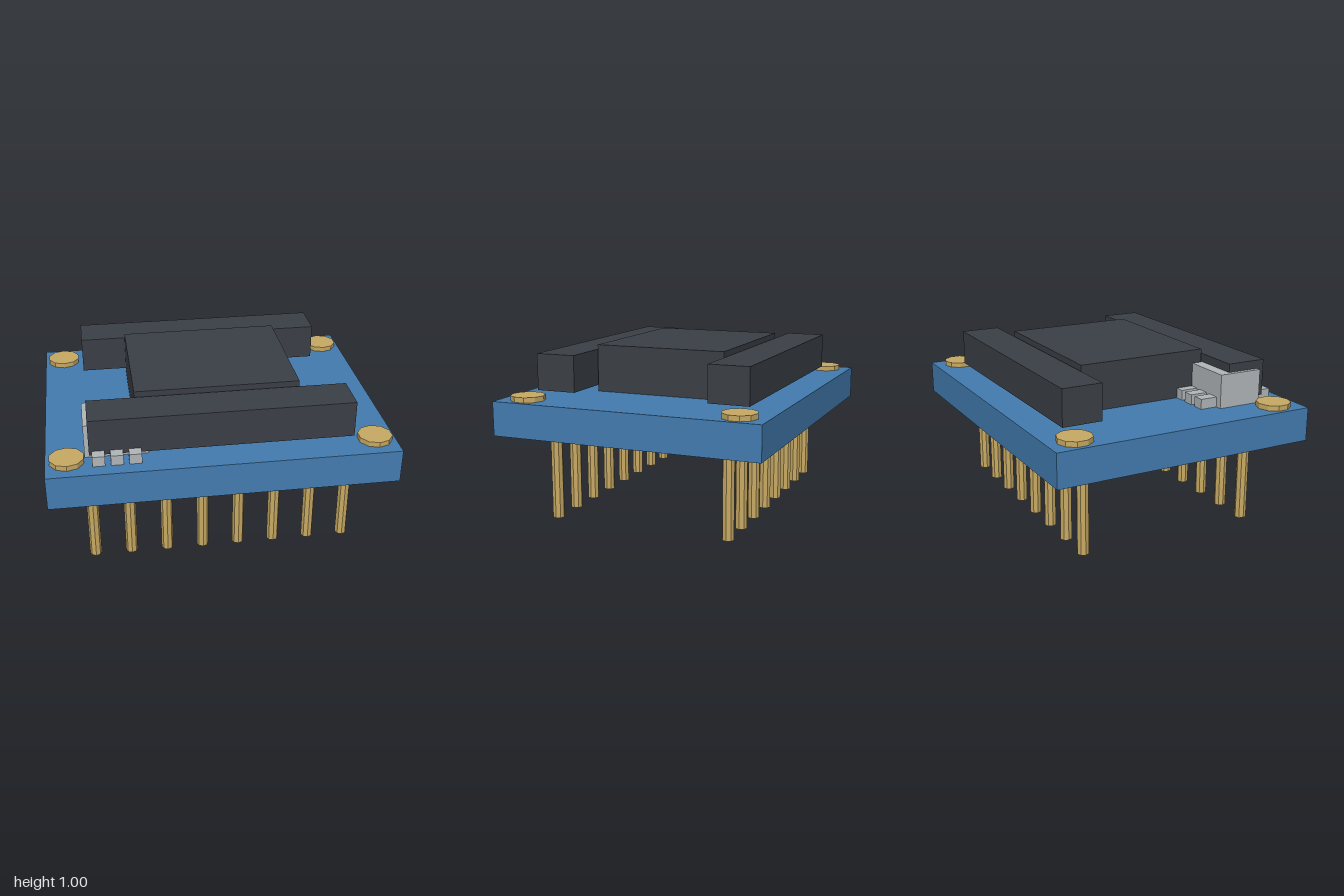
import * as THREE from 'three';

const mat = (name, color) => {
  const m = new THREE.MeshStandardMaterial({ color });
  m.name = name;
  return m;
};

export function createModel() {
  const model = new THREE.Group();
  model.name = 'circuitModule';

  const blue = mat('boardBlue', 0x437cb0);
  const dark = mat('plasticDark', 0x3b4046);
  const gold = mat('contactGold', 0xc8aa64);
  const grey = mat('metalGrey', 0xb2b7ba);
  gold.flatShading = true;

  // Box given by its ranges on each axis
  const box = (name, material, [x0, x1], [y0, y1], [z0, z1], parent = model) => {
    const mesh = new THREE.Mesh(new THREE.BoxGeometry(x1 - x0, y1 - y0, z1 - z0), material);
    mesh.position.set((x0 + x1) / 2, (y0 + y1) / 2, (z0 + z1) / 2);
    mesh.name = name;
    parent.add(mesh);
  };

  // Upright faceted cylinder between two heights
  const post = (name, radius, sides, x, z, y0, y1) => {
    const mesh = new THREE.Mesh(new THREE.CylinderGeometry(radius, radius, y1 - y0, sides), gold);
    mesh.position.set(x, (y0 + y1) / 2, z);
    mesh.name = name;
    model.add(mesh);
  };

  const TOP = 0.72, BOTTOM = 0.52;

  // Board and central chip
  box('board', blue, [-1, 1], [BOTTOM, TOP], [-0.8, 0.8]);
  box('mainChip', dark, [-0.48, 0.48], [TOP, 1], [-0.4, 0.4]);

  for (const s of [-1, 1]) {
    // Raised header bar along each long edge
    box('headerBar', dark, [-0.755, 0.755], [0.755, 0.97], [s * 0.53 - 0.12, s * 0.53 + 0.12]);

    // Chip leads passing under the bar
    for (const x of [-0.27, 0, 0.27]) {
      box('chipLead', grey, [x - 0.035, x + 0.035], [TOP, 0.78], [s * 0.4 - 0.1, s * 0.4 + 0.1]);
    }

    // Row of legs below the board
    for (let i = 0; i < 8; i++) {
      post('legPin', 0.035, 8, -0.756 + i * 0.216, s * 0.535, 0, BOTTOM);
    }

    // Corner contact pads
    for (const x of [-0.88, 0.88]) post('cornerPad', 0.1, 10, x, s * 0.64, TOP, 0.75);
  }

  // Small component with three leads on each side
  const part = new THREE.Group();
  part.name = 'smallComponent';
  model.add(part);
  box('componentBody', grey, [-0.78, -0.42], [TOP, 0.92], [0.34, 0.61], part);
  for (const x of [-0.705, -0.603, -0.501]) {
    box('componentLeadBack', grey, [x - 0.035, x + 0.035], [TOP, 0.78], [0.235, 0.34], part);
    box('componentLeadFront', grey, [x - 0.035, x + 0.035], [TOP, 0.78], [0.61, 0.715], part);
  }

  return model;
}
